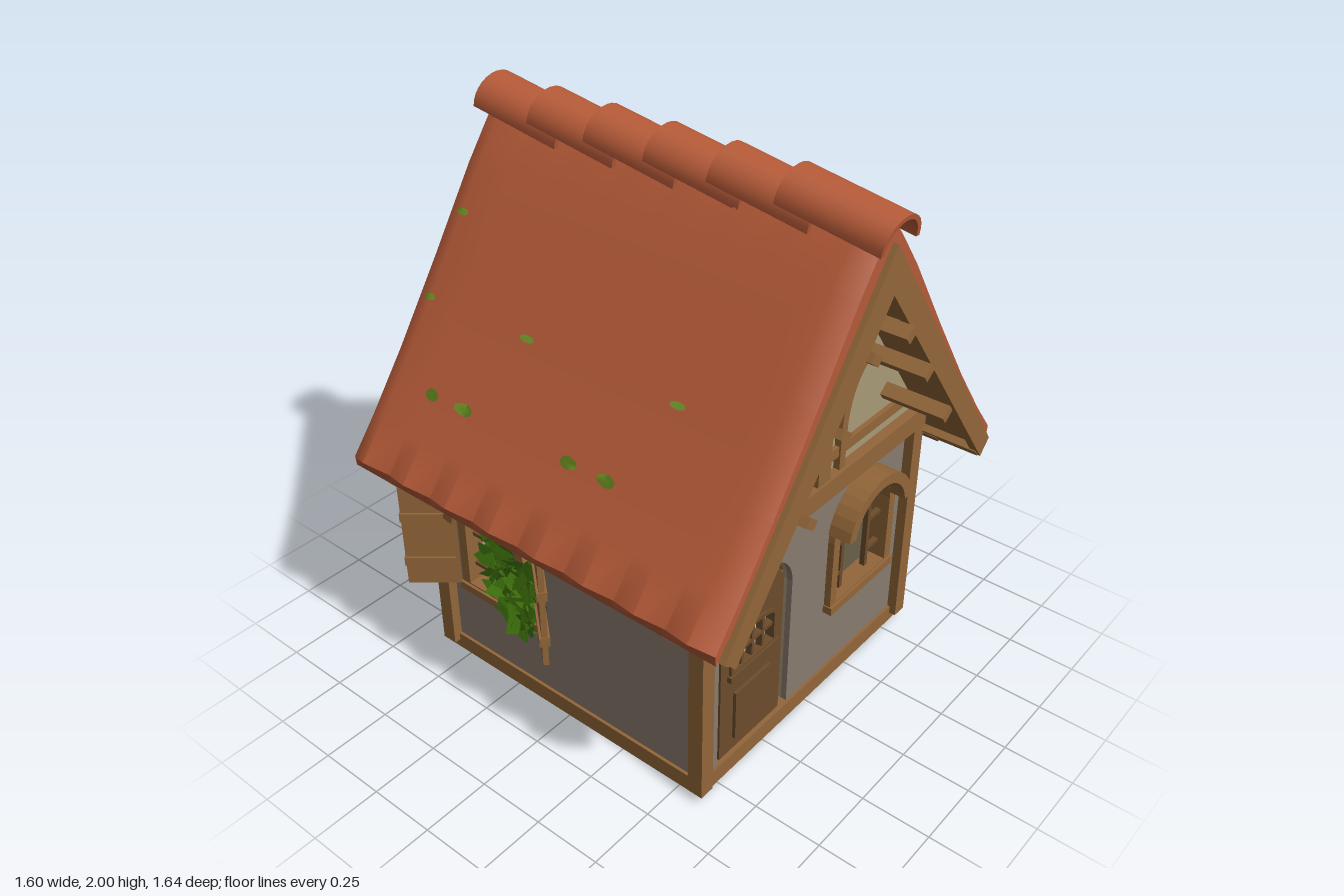
import * as THREE from 'three';
import { mergeGeometries, toCreasedNormals } from 'three/addons/utils/BufferGeometryUtils.js';

const mat = (name, color, side = THREE.FrontSide) => {
  const m = new THREE.MeshStandardMaterial({ color, side });
  m.name = name;
  return m;
};
const WOOD = mat('timber', 0x926639);
const DARK = mat('dark wood', 0x6c4c2c);
const PLASTER = mat('grey plaster', 0x897b6e);
const CREAM = mat('cream plaster', 0xa99a78);
const ROOF = mat('roof tile', 0xb55a38);
const MOSS = mat('moss', 0x668a20, THREE.DoubleSide);
const IVY = mat('ivy green', 0x437a0c, THREE.DoubleSide);

function part(parent, name, geo, material, x = 0, y = 0, z = 0) {
  const m = new THREE.Mesh(geo, material);
  m.name = name;
  m.position.set(x, y, z);
  parent.add(m);
  return m;
}
function group(parent, name) {
  const g = new THREE.Group();
  g.name = name;
  parent.add(g);
  return g;
}
// box given by its limits
const block = (parent, name, material, x0, x1, y0, y1, z0, z1) =>
  part(parent, name, new THREE.BoxGeometry(x1 - x0, y1 - y0, z1 - z0), material, (x0 + x1) / 2, (y0 + y1) / 2, (z0 + z1) / 2);
// outline extruded from z0 to z1
const toV = pts => pts.map(p => new THREE.Vector2(p[0], p[1]));
function slab(parent, name, material, pts, z0, z1, holes = []) {
  const shape = new THREE.Shape(toV(pts));
  for (const h of holes) shape.holes.push(new THREE.Path(toV(h)));
  return part(parent, name, new THREE.ExtrudeGeometry(shape, { depth: z1 - z0, bevelEnabled: false }), material, 0, 0, z0);
}
// straight bar between two points in the xy plane
function bar(parent, name, material, x0, y0, x1, y1, w, z0, z1) {
  const m = part(parent, name, new THREE.BoxGeometry(Math.hypot(x1 - x0, y1 - y0), w, z1 - z0), material, (x0 + x1) / 2, (y0 + y1) / 2, (z0 + z1) / 2);
  m.rotation.z = Math.atan2(y1 - y0, x1 - x0);
  return m;
}
function arc(cx, cy, rx, ry, a0, a1, n = 14) {
  return Array.from({ length: n + 1 }, (_, i) => {
    const a = a0 + (a1 - a0) * i / n;
    return [cx + rx * Math.cos(a), cy + ry * Math.sin(a)];
  });
}
const arched = (cx, half, bottom, spring, rise) =>
  [[cx - half, bottom], [cx + half, bottom], ...arc(cx, spring, half, rise, 0, Math.PI)];
const band = (cx, cy, rx, ry, w, a0, a1) =>
  [...arc(cx, cy, rx + w, ry + w, a0, a1), ...arc(cx, cy, rx, ry, a1, a0)];

// Arched window, centred on x = cx of a wall facing +z
function addWindow(wall, cx) {
  const g = group(wall, 'window');
  g.position.x = cx;
  slab(g, 'windowFrame', WOOD, arched(0, 0.19, 0.345, 0.64, 0.19), 0.53, 0.602, [arched(0, 0.154, 0.37, 0.64, 0.154)]);
  slab(g, 'windowHood', WOOD, band(0, 0.64, 0.155, 0.155, 0.04, 0.16, Math.PI - 0.16), 0.56, 0.662);
  block(g, 'windowSill', WOOD, -0.195, 0.195, 0.335, 0.365, 0.54, 0.612);
  slab(g, 'innerArch', DARK, band(0, 0.61, 0.071, 0.071, 0.017, 0, Math.PI), 0.55, 0.57);
  for (const s of [-1, 1]) {
    bar(g, 'mullion', DARK, s * 0.08, 0.36, s * 0.08, 0.61, 0.017, 0.55, 0.57);
    for (const y of [0.44, 0.57]) bar(g, 'glazingBar', DARK, s * 0.08, y, s * 0.155, y, 0.013, 0.55, 0.57);
    bar(g, 'glazingBar', DARK, s * 0.058, 0.67, s * 0.118, 0.745, 0.013, 0.55, 0.57);
  }
  bar(g, 'glazingBar', DARK, 0, 0.69, 0, 0.8, 0.013, 0.55, 0.57);
}
const windowHole = cx => arched(cx, 0.156, 0.36, 0.64, 0.156);

// Wall facing +z, turned into place; grey outside, cream inside
function addWall(house, name, turn, holes) {
  const g = group(house, name);
  g.rotation.y = turn;
  const rect = h => [[-h, 0.03], [h, 0.03], [h, 0.92], [-h, 0.92]];
  slab(g, 'outerWall', PLASTER, rect(0.575), 0.555, 0.577, holes);
  slab(g, 'innerWall', CREAM, rect(0.555), 0.54, 0.555, holes);
  block(g, 'sillBeam', WOOD, -0.585, 0.585, 0, 0.065, 0.535, 0.588);
  return g;
}

function addDoor(wall) {
  const g = group(wall, 'door'), c = -0.306;
  slab(g, 'doorLeaf', DARK, arched(c, 0.164, 0.067, 0.645, 0.075), 0.545, 0.572, [arched(c, 0.108, 0.42, 0.53, 0.025)]);
  slab(g, 'doorWindowFrame', DARK, arched(c, 0.122, 0.408, 0.532, 0.036), 0.565, 0.582, [arched(c, 0.106, 0.422, 0.53, 0.024)]);
  for (const x of [-0.055, 0, 0.055]) bar(g, 'doorMuntin', DARK, c + x, 0.42, c + x, 0.55, 0.013, 0.55, 0.575);
  bar(g, 'doorMuntin', DARK, c - 0.11, 0.485, c + 0.11, 0.485, 0.013, 0.55, 0.575);
  block(g, 'doorLedge', DARK, c - 0.13, c + 0.13, 0.392, 0.415, 0.56, 0.59);
  block(g, 'doorPanel', DARK, c - 0.095, c + 0.095, 0.12, 0.32, 0.565, 0.584);
}

function addShutter(wall, cx, s) {
  const g = group(wall, 'shutter'), w = 0.187;
  g.position.set(cx + s * 0.195, 0, 0.605);
  g.rotation.y = -s * 0.7;
  const top = arc(s * w, 0.62, w, 0.18, Math.PI / 2, s > 0 ? Math.PI : 0, 8);
  slab(g, 'shutterBoards', WOOD, [[0, 0.36], [s * w, 0.36], ...top], -0.01, 0.01);
  for (const y of [0.46, 0.65]) part(g, 'shutterBatten', new THREE.BoxGeometry(0.18, 0.035, 0.036), WOOD, s * 0.1, y, 0);
}

// Hanging ivy made of pointed leaves
function addIvy(wall) {
  let seed = 7;
  const rnd = () => (seed = (seed * 16807) % 2147483647) / 2147483647;
  const leaf = new THREE.ShapeGeometry(new THREE.Shape(toV([[0, -0.065], [0.04, -0.01], [0.05, 0.035], [0, 0.025], [-0.05, 0.035], [-0.04, -0.01]])));
  const leaves = [];
  for (let i = 0; i < 200; i++) {
    const t = Math.pow(rnd(), 0.8), half = t < 0.6 ? 0.1 : 0.1 - 0.15 * (t - 0.6);
    const g = leaf.clone();
    g.rotateZ((rnd() - 0.5) * 2.6).rotateX((rnd() - 0.5) * 0.9).rotateY((rnd() - 0.5) * 1.2);
    g.translate(-0.24 + 0.05 * t + (rnd() * 2 - 1) * half, 0.78 - 0.44 * t, 0.585 + rnd() * 0.05);
    leaves.push(g);
  }
  part(wall, 'ivy', mergeGeometries(leaves), IVY);
}

// Half-timbered gable with overhanging bargeboard
function addGable(house, turn) {
  const g = group(house, 'gable');
  g.rotation.y = turn;
  slab(g, 'gableWall', CREAM, [[-0.6, 0.88], [0.6, 0.88], [0.6, 0.98], [0, 1.79], [-0.6, 0.98]], 0.55, 0.58);
  block(g, 'tieBeam', WOOD, -0.615, 0.615, 0.875, 0.95, 0.55, 0.618);
  block(g, 'gableRail', WOOD, -0.53, 0.53, 1.0, 1.038, 0.57, 0.598);
  block(g, 'kingPost', WOOD, -0.034, 0.034, 0.95, 1.73, 0.57, 0.61);
  for (const s of [-1, 1]) {
    block(g, 'gableStud', WOOD, s * 0.11 - 0.016, s * 0.11 + 0.016, 0.95, 1.08, 0.57, 0.604);
    const a0 = s > 0 ? Math.PI : 0;
    slab(g, 'curvedBrace', WOOD, band(s * 0.28, 1.08, 0.154, 0.234, 0.032, a0, a0 - s * 1.35), 0.57, 0.604);
  }
  slab(g, 'bargeboard', WOOD, [[0, 1.85], [-0.75, 0.825], [-0.7, 0.772], [0, 1.69], [0.7, 0.772], [0.75, 0.825]], 0.768, 0.8);
}

// Roof section from ridge to eave: upper face and underside
const OUTER = [[0, 1.94], [0.09, 1.865], [0.18, 1.745], [0.36, 1.475], [0.55, 1.2], [0.7, 1.0], [0.8, 0.878]];
const INNER = [[0, 1.82], [0.06, 1.745], [0.13, 1.65], [0.31, 1.405], [0.49, 1.165], [0.645, 0.955], [0.768, 0.82]];
// depth of the tile corrugation along the ridge direction
const wave = z => 0.033 * Math.abs((Math.abs(z) * 10) % 2 - 1);

function roofGeometry() {
  const zs = [-0.78, ...Array.from({ length: 15 }, (_, i) => (i - 7) / 10), 0.78];
  const pos = [], idx = [], last = OUTER.length - 1, across = last * 2 + 1, N = across * 2;
  for (const z of zs) {
    const drop = wave(z) + (Math.abs(z) > 0.75 ? 0.01 : 0);
    const inner = [];
    for (let i = -last; i <= last; i++) {
      const k = Math.abs(i), s = Math.sign(i);
      pos.push(s * (OUTER[k][0] - drop * 0.8), OUTER[k][1] - drop * 0.6, z);
      inner.unshift([s * INNER[k][0], INNER[k][1], z]);
    }
    pos.push(...inner.flat());
  }
  for (let j = 0; j < zs.length - 1; j++)
    for (let i = 0; i < N; i++) {
      const a = j * N + i, b = j * N + (i + 1) % N, c = b + N, d = a + N;
      idx.push(a, d, c, a, c, b);
    }
  // gable end caps
  const e = (zs.length - 1) * N;
  for (let i = 0; i < across - 1; i++) {
    const o = i, p = i + 1, q = N - 1 - i, r = N - 2 - i;
    idx.push(e + o, e + q, e + r, e + o, e + r, e + p, o, r, q, o, p, r);
  }
  const g = new THREE.BufferGeometry();
  g.setAttribute('position', new THREE.Float32BufferAttribute(pos, 3));
  g.setIndex(idx);
  return toCreasedNormals(g, 0.85);
}

// Moss patch draped over the corrugation, lying in the xz plane before tilting
function mossGeometry(size, z) {
  const geo = new THREE.CircleGeometry(0.04 * size, 16).scale(0.5, 1, 1).rotateX(-Math.PI / 2);
  const p = geo.attributes.position;
  for (let i = 0; i < p.count; i++) p.setY(i, 0.009 - wave(z + p.getZ(i)));
  geo.computeVertexNormals();
  return geo;
}

function addRoof(house) {
  const g = group(house, 'roof');
  part(g, 'roofTiles', roofGeometry(), ROOF);
  const pegs = [[0.095, 1.527], [0.228, 1.335], [0.38, 1.11]];
  const moss = [[1.12, 0.22], [1.12, 0.075], [1.12, -0.4], [1.12, -0.54], [1.36, 0.36], [1.36, -0.255], [1.36, -0.7], [1.61, -0.695]];
  for (const s of [-1, 1]) {
    // boards and purlins below the tiles
    bar(g, 'roofBoards', WOOD, 0, 1.8, s * 0.71, 0.822, 0.03, -0.765, 0.765);
    bar(g, 'eaveBeam', WOOD, s * 0.685, 0.785, s * 0.73, 0.82, 0.034, -0.79, 0.79);
    for (const [x, y] of pegs) bar(g, 'purlin', WOOD, s * (x - 0.02), y - 0.015, s * (x + 0.02), y + 0.015, 0.032, -0.818, 0.818);
    for (const z of [-0.6, 0.6]) bar(g, 'eaveBracket', WOOD, s * 0.69, 0.774, s * 0.745, 0.814, 0.03, z - 0.033, z + 0.033);
    // moss patches
    for (const [y, z] of moss) {
      const k = OUTER.findIndex(p => p[1] < y), [x0, y0] = OUTER[k - 1], [x1, y1] = OUTER[k];
      const x = x0 + (x1 - x0) * (y0 - y) / (y0 - y1);
      const m = part(g, 'mossPatch', mossGeometry(y < 1.2 ? 1 : 0.6, z), MOSS, s * x, y, z);
      m.rotation.z = -s * Math.atan2(y0 - y1, x1 - x0);
    }
  }
  // overlapping ridge tiles
  const ring = [...arc(0, 0, 0.1, 0.09, -0.1, Math.PI + 0.1), ...arc(0, 0, 0.083, 0.074, Math.PI + 0.1, -0.1)];
  for (let k = 0; k < 6; k++) {
    const tile = group(g, 'ridgeTile');
    tile.position.set(0, 1.852, 0.805 - 0.246 * k);
    tile.rotation.x = 0.16;
    const m = slab(tile, 'ridgeTileShell', ROOF, ring, -0.37, 0);
    m.geometry = toCreasedNormals(m.geometry, 0.6);
  }
}

export function createModel() {
  const house = new THREE.Group();
  house.name = 'cottage';
  const doorHole = arched(-0.2935, 0.1935, 0.064, 0.6, 0.157);
  const front = addWall(house, 'frontWall', 0, [doorHole, windowHole(0.293)]);
  addDoor(front);
  addWindow(front, 0.293);
  addWall(house, 'backWall', Math.PI, []);
  const left = addWall(house, 'leftWall', Math.PI / 2, [windowHole(0.293)]);
  addWindow(left, 0.293);
  const right = addWall(house, 'rightWall', -Math.PI / 2, [windowHole(-0.293)]);
  addWindow(right, -0.293);
  for (const s of [-1, 1]) addShutter(right, -0.293, s);
  addIvy(right);
  for (const sx of [-1, 1])
    for (const sz of [-1, 1])
      part(house, 'cornerPost', new THREE.BoxGeometry(0.058, 0.86, 0.058), WOOD, sx * 0.584, 0.465, sz * 0.584);
  addGable(house, 0);
  addGable(house, Math.PI);
  addRoof(house);
  return house;
}
